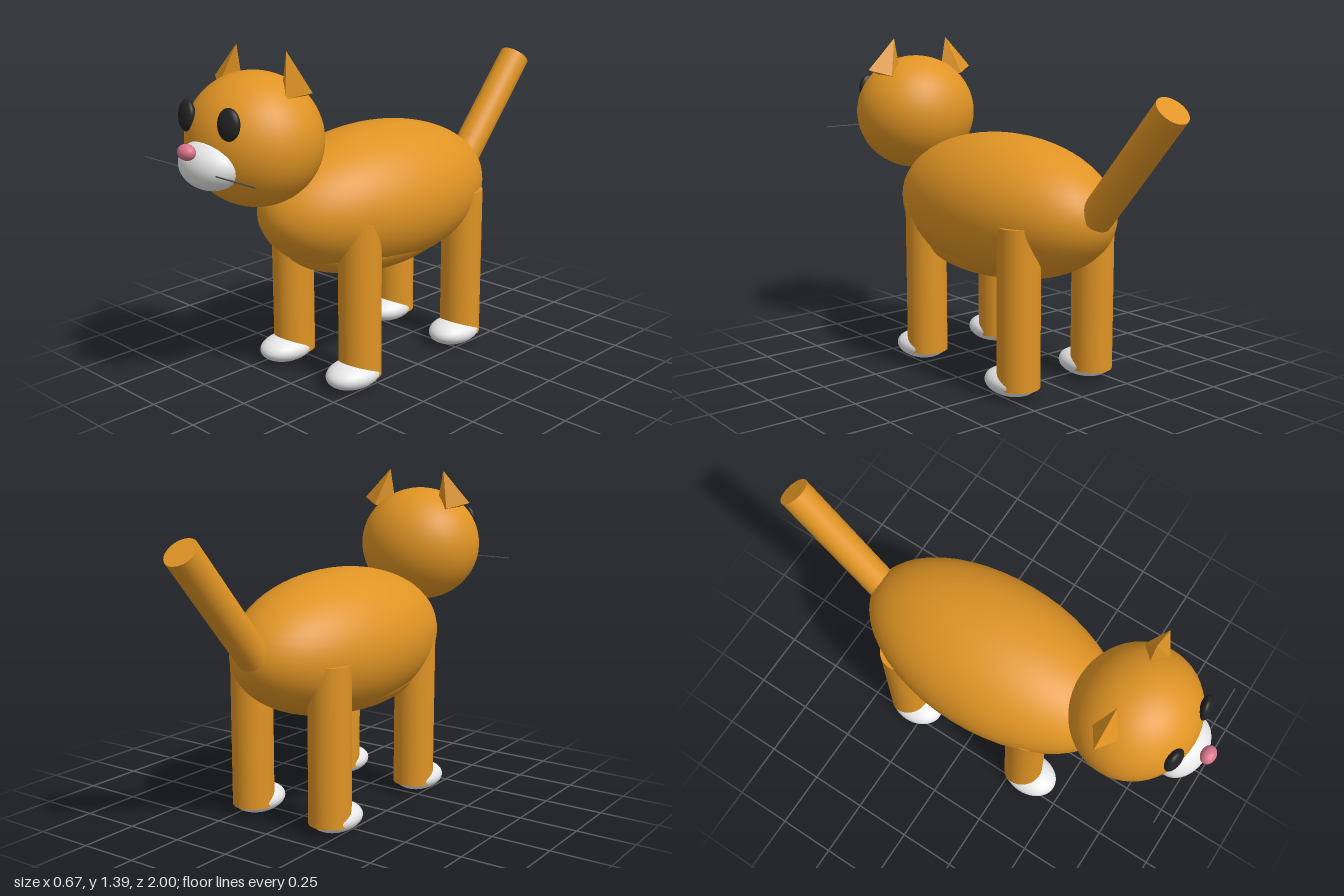
import * as THREE from 'three';

const material = (name, color) => {
  const m = new THREE.MeshStandardMaterial({ color });
  m.name = name;
  return m;
};

export function createModel() {
  const cat = new THREE.Group();
  cat.name = 'cat';

  const ginger = material('ginger fur', 0xe09424);
  const white = material('white fur', 0xebebeb);
  const pink = material('pink nose', 0xd8758c);
  const black = material('black eyes', 0x222222);
  const grey = material('grey whiskers', 0x555555);

  const add = (name, geometry, mat, x, y, z) => {
    const mesh = new THREE.Mesh(geometry, mat);
    mesh.name = name;
    mesh.position.set(x, y, z);
    cat.add(mesh);
    return mesh;
  };
  const ellipsoid = (name, mat, [x, y, z], [rx, ry, rz]) =>
    add(name, new THREE.SphereGeometry(1, 48, 32).scale(rx, ry, rz), mat, x, y, z);

  // Torso, with a slightly fuller belly underneath
  ellipsoid('body', ginger, [0, 0.715, 0], [0.333, 0.302, 0.592]);
  ellipsoid('belly', ginger, [0, 0.56, 0.05], [0.26, 0.15, 0.42]);

  // Head and face
  ellipsoid('head', ginger, [0, 1.056, 0.654], [0.275, 0.256, 0.253]);
  ellipsoid('muzzle', white, [0, 0.995, 0.868], [0.138, 0.095, 0.1]);
  ellipsoid('nose', pink, [0, 1.058, 0.97], [0.039, 0.03, 0.03]);

  for (const side of [-1, 1]) {
    const label = side > 0 ? 'left' : 'right';

    const eye = ellipsoid(label + 'Eye', black, [side * 0.12, 1.16, 0.872], [0.049, 0.06, 0.025]);
    eye.rotation.set(-0.1, side * 0.18, 0);

    // Four-sided ear, flattened front to back with its tip leaning inward
    const earShape = new THREE.ConeGeometry(0.09, 0.17, 4, 1).toNonIndexed();
    earShape.computeVertexNormals();
    earShape.translate(0, 0.085, 0).scale(1, 1, 0.6);
    const ear = add(label + 'Ear', earShape, ginger, side * 0.19, 1.231, 0.612);
    ear.rotation.z = side * 0.3;

    const whisker = add(label + 'Whisker', new THREE.CylinderGeometry(0.003, 0.003, 0.217, 8),
      grey, side * 0.2085, 0.98, 0.927);
    whisker.rotation.z = Math.PI / 2;

    // Straight legs on forward-pointing paws
    for (const [end, z] of [['Front', 0.297], ['Back', -0.338]]) {
      add(label + end + 'Leg', new THREE.CylinderGeometry(0.0875, 0.0875, 0.655, 40),
        ginger, side * 0.1975, 0.3725, z);
      ellipsoid(label + end + 'Paw', white, [side * 0.2, 0.06, z + 0.042], [0.097, 0.057, 0.126]);
    }
  }

  // Tail slanting up and back
  const tail = add('tail', new THREE.CylinderGeometry(0.068, 0.068, 0.59, 40), ginger, 0, 0.963, -0.753);
  tail.rotation.x = -0.713;

  return cat;
}
